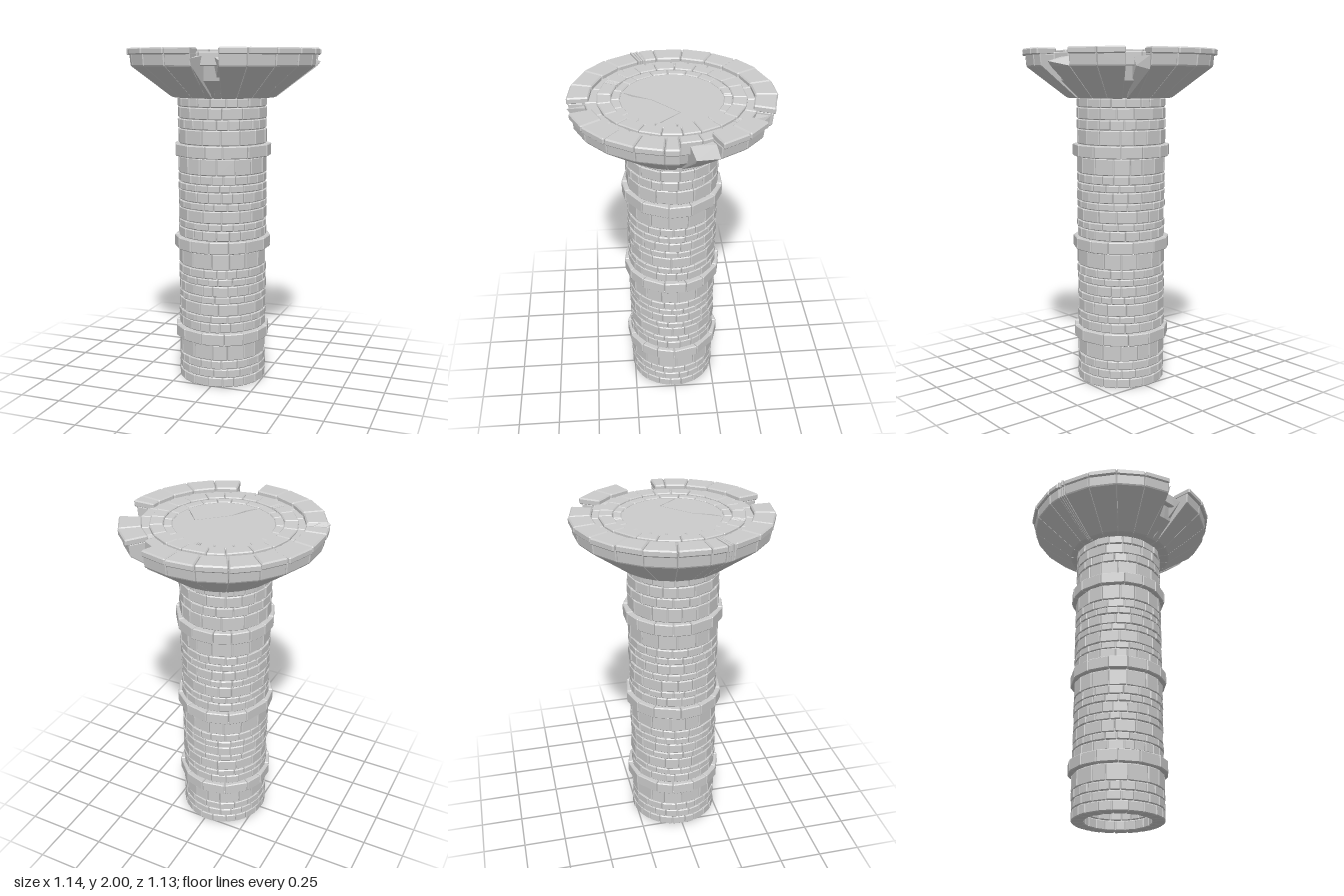
import * as THREE from 'three';
import { mergeGeometries } from 'three/addons/utils/BufferGeometryUtils.js';
import { ConvexGeometry } from 'three/addons/geometries/ConvexGeometry.js';

const material = new THREE.MeshStandardMaterial({ color: 0xcccccc, flatShading: true });
const V2 = (x, y) => new THREE.Vector2(x, y);

let seed = 7;
const rand = () => (seed = (seed * 16807) % 2147483647) / 2147483647;

// Angle in degrees: 0 faces the front (+z), 90 faces +x
function polar(deg, r, y) {
  const a = THREE.MathUtils.degToRad(deg);
  return new THREE.Vector3(r * Math.sin(a), y, r * Math.cos(a));
}

// Wedge-shaped stone with chamfered edges: a convex [r, y] profile swept from a0 to a1
function stone(profile, a0, a1, bevel = 0.005) {
  const points = [];
  const n = profile.length;
  profile.forEach(([r, y], i) => {
    const p = V2(r, y);
    const before = V2(...profile[(i + n - 1) % n]).sub(p).setLength(bevel);
    const after = V2(...profile[(i + 1) % n]).sub(p).setLength(bevel);
    const inset = THREE.MathUtils.radToDeg(bevel / r);
    const inner = p.clone().add(before).add(after);
    for (const [a, s] of [[a0, 1], [a1, -1]]) {
      points.push(polar(a, inner.x, inner.y));
      for (const d of [before, after]) points.push(polar(a + s * inset, p.x + d.x, p.y + d.y));
    }
  });
  return new ConvexGeometry(points);
}

const rect = (r0, r1, y0, y1) => [[r0, y0], [r1, y0], [r1, y1], [r0, y1]];

// Divides an arc into stones of slightly uneven width, returning [start, end] pairs
function divide(start, end, count, uneven = 0.25) {
  const widths = Array.from({ length: count }, () => 1 + (rand() - 0.5) * 2 * uneven);
  const unit = (end - start) / widths.reduce((s, w) => s + w, 0);
  let a = start;
  return widths.map((w) => [a, (a += w * unit)]);
}

function addMesh(parent, name, geometry) {
  const mesh = new THREE.Mesh(geometry, material);
  mesh.name = name;
  parent.add(mesh);
  return mesh;
}

// Ring of stones, optionally with a few thin cracked slabs at one angle
function ring(r0, r1, y0, y1, count, start, cracked = 0) {
  const spans = divide(start + cracked, start + 360, count);
  if (cracked) spans.push(...divide(start, start + cracked, 3, 0.1));
  return spans.map(([a, b]) => {
    const gap = THREE.MathUtils.radToDeg(0.0015 / r1);
    const thin = b - a < 4;
    const out = r1 + (rand() - 0.5) * 0.005;
    return stone(rect(r0, out, y0, y1), a + gap, b - gap, thin ? 0.002 : 0.005);
  });
}

function createShaft() {
  const shaft = new THREE.Group();
  shaft.name = 'shaft';
  shaft.position.x = -0.018;

  // Course heights repeat between the projecting bands
  const courses = [];
  const pattern = [0.06, 0.045, 0.075, 0.045, 0.065, 0.045, 0.055, 0.1];
  let y = 0;
  const lay = (h, band = false) => { courses.push([y, y + h, band]); y += h; };
  [0.06, 0.055, 0.055, 0.1].forEach((h) => lay(h));
  for (let i = 0; i < 3; i++) {
    lay(0.075, true);
    (i < 2 ? pattern : [0.09, 0.06, 0.07, 0.055]).forEach((h) => lay(h));
  }
  const scale = 1.72 / y;

  const wall = [], bands = [];
  for (const [y0, y1, band] of courses) {
    const count = band ? 14 : y1 - y0 > 0.07 ? 16 : 21;
    const stones = ring(0.192, band ? 0.289 : 0.265, y0 * scale + 0.001, y1 * scale - 0.001, count, rand() * 30);
    (band ? bands : wall).push(...stones);
  }
  addMesh(shaft, 'wallStones', mergeGeometries(wall));
  addMesh(shaft, 'bandStones', mergeGeometries(bands));

  // Mortar core seen in the joints
  const core = [[0.2, 0.006], [0.253, 0.006], [0.253, 1.725], [0.2, 1.725], [0.2, 0.006]];
  addMesh(shaft, 'mortar', new THREE.LatheGeometry(core.map((p) => V2(...p)), 40));
  return shaft;
}

function createCapital() {
  const capital = new THREE.Group();
  capital.name = 'capital';
  capital.position.x = -0.006;

  // Unbroken arcs of the rim, leaving three notches
  const spans = [
    ...divide(16.5, 82, 4, 0.06), [82, 90],
    ...divide(112, 145, 2, 0.05),
    ...divide(159, 277, 7, 0.08), [277, 286],
    ...divide(286, 291, 3, 0.1),
    ...divide(291, 361, 4, 0.06),
  ];
  const flare = [[0.25, 1.72], [0.312, 1.72], [0.55, 1.9], [0.556, 1.968], [0.25, 1.968]];
  const rim = [], flares = [];
  for (const [a, b] of spans) {
    const bevel = b - a < 4 ? 0.002 : 0.007;
    const r = 0.57 + (rand() - 0.5) * 0.012;
    rim.push(stone(rect(0.445, r, 1.962, 2), a + 0.15, b - 0.15, bevel));
    flares.push(stone(flare, a + 0.15, b - 0.15, Math.min(bevel, 0.005)));
  }
  addMesh(capital, 'rimStones', mergeGeometries(rim));
  addMesh(capital, 'flaredStones', mergeGeometries(flares));

  // Broken stumps left in the notches: [angle, radius, height]
  const stumps = [
    [[1, 0.46, 1.955], [1, 0.565, 1.94], [5, 0.46, 1.955], [1, 0.54, 1.9], [1, 0.31, 1.72], [7, 0.31, 1.72]],
    [[16.5, 0.46, 1.95], [16.5, 0.5, 1.93], [13, 0.46, 1.95], [16.5, 0.31, 1.72], [9, 0.31, 1.72]],
    [[112, 0.55, 1.9], [112, 0.5, 1.955], [98, 0.565, 1.925], [98, 0.54, 1.895], [112, 0.31, 1.72],
      [95, 0.31, 1.72], [97, 0.46, 1.95], [112, 0.46, 1.955]],
    [[159, 0.54, 1.955], [159, 0.46, 1.955], [151, 0.46, 1.95], [152, 0.48, 1.9], [149, 0.31, 1.72],
      [159, 0.31, 1.72], [159, 0.53, 1.88]],
  ];
  addMesh(capital, 'brokenStumps',
    mergeGeometries(stumps.map((s) => new ConvexGeometry(s.map((p) => polar(...p))))));

  // Solid core behind the stones
  const core = [[0.2, 1.723], [0.3, 1.723], [0.415, 1.82], [0.445, 1.955], [0.2, 1.955], [0.2, 1.723]];
  addMesh(capital, 'core', new THREE.LatheGeometry(core.map((p) => V2(...p)), 40));

  // Concentric paving rings, stepping slightly
  addMesh(capital, 'outerPaving', mergeGeometries(ring(0.4, 0.468, 1.9, 1.976, 21, 138, 5)));
  addMesh(capital, 'middlePaving', mergeGeometries(ring(0.328, 0.405, 1.94, 1.99, 21, 328, 5)));
  addMesh(capital, 'innerPaving', mergeGeometries(ring(0.28, 0.33, 1.94, 1.982, 20, 178, 5)));
  return capital;
}

// Round floor slab split by a jagged crack, over a plain base
function createFloor() {
  const floor = new THREE.Group();
  floor.name = 'floor';
  floor.position.x = -0.01;
  const slab = new THREE.Shape().absarc(0, 0, 0.292, 0, Math.PI * 2);
  // Crack outline in x and -z
  const crack = [[-0.078, -0.255], [-0.045, -0.205], [0.009, -0.11], [0.163, 0.036], [0.265, -0.076],
    [0.262, -0.082], [0.163, 0.032], [0.013, -0.112], [-0.03, -0.21], [-0.07, -0.257]];
  slab.holes.push(new THREE.Path(crack.map((p) => V2(...p))));
  const geometry = new THREE.ExtrudeGeometry(slab, { depth: 0.02, bevelEnabled: false, curveSegments: 20 });
  geometry.rotateX(-Math.PI / 2).translate(0, 1.955, 0);
  addMesh(floor, 'crackedSlab', geometry);
  addMesh(floor, 'slabBase', new THREE.CylinderGeometry(0.292, 0.292, 0.015, 40)).position.y = 1.948;
  return floor;
}

export function createModel() {
  const model = new THREE.Group();
  model.name = 'stoneColumn';
  model.add(createShaft(), createCapital(), createFloor());
  return model;
}
